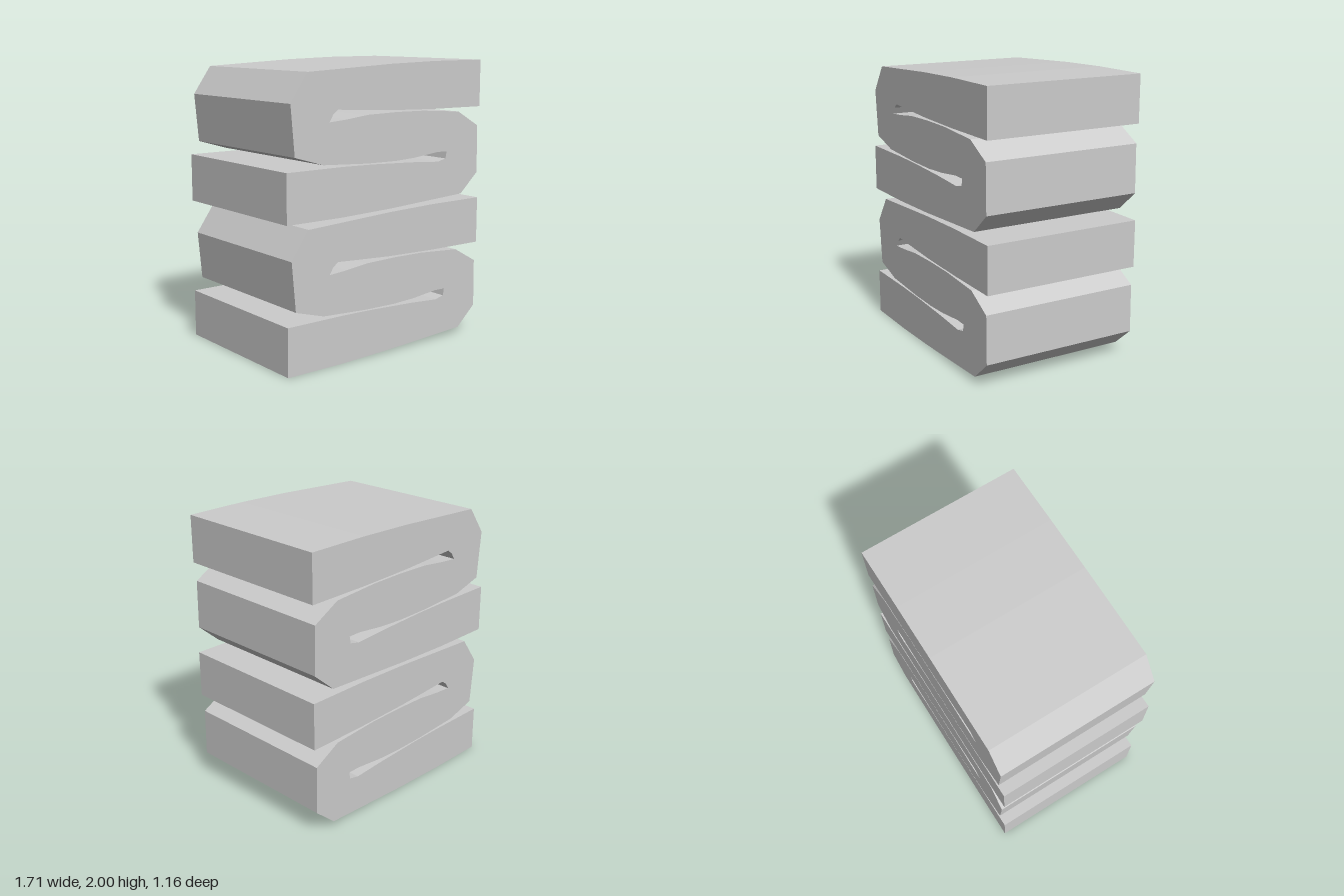
import * as THREE from 'three';

const DEPTH = 1.16;

// Side profile of one sheet folded in three, counter-clockwise from the lower free end
const PROFILE = [
  // underside and right-hand fold
  [-0.86, 0.004], [-0.42, 0.003], [0, 0.014], [0.68, 0.047], [0.84, 0.188], [0.835, 0.53], [0.64, 0.64],
  // top of the middle layer, into the upper crease
  [0.3, 0.664], [0.05, 0.668], [-0.2, 0.663], [-0.38, 0.643], [-0.52, 0.633],
  // upper crease, out along the underside of the top layer
  [-0.49, 0.68], [-0.45, 0.71], [-0.29, 0.7], [0, 0.683], [0.4, 0.671], [0.853, 0.667],
  // top layer and left-hand fold
  [0.853, 1], [0.4, 1], [0, 0.99], [-0.69, 0.957], [-0.825, 0.765], [-0.795, 0.428], [-0.57, 0.362],
  // underside of the middle layer, into the lower crease
  [-0.2, 0.341], [0.05, 0.337], [0.23, 0.345], [0.44, 0.367], [0.53, 0.365],
  // lower crease, out along the top of the bottom layer
  [0.52, 0.315], [0.445, 0.298], [0.2, 0.315], [-0.15, 0.331], [-0.4, 0.337], [-0.86, 0.338],
];

export function createModel() {
  const model = new THREE.Group();
  model.name = 'foldedStack';

  const material = new THREE.MeshStandardMaterial({ color: 0xcccccc, flatShading: true });
  const shape = new THREE.Shape(PROFILE.map(([x, y]) => new THREE.Vector2(x, y)));
  const geometry = new THREE.ExtrudeGeometry(shape, { depth: DEPTH, bevelEnabled: false });
  geometry.translate(0, 0, -DEPTH / 2);

  // Two identical folded pieces, one on top of the other
  ['lowerFoldedBlanket', 'upperFoldedBlanket'].forEach((name, i) => {
    const blanket = new THREE.Mesh(geometry, material);
    blanket.name = name;
    blanket.position.y = i;
    model.add(blanket);
  });

  return model;
}
